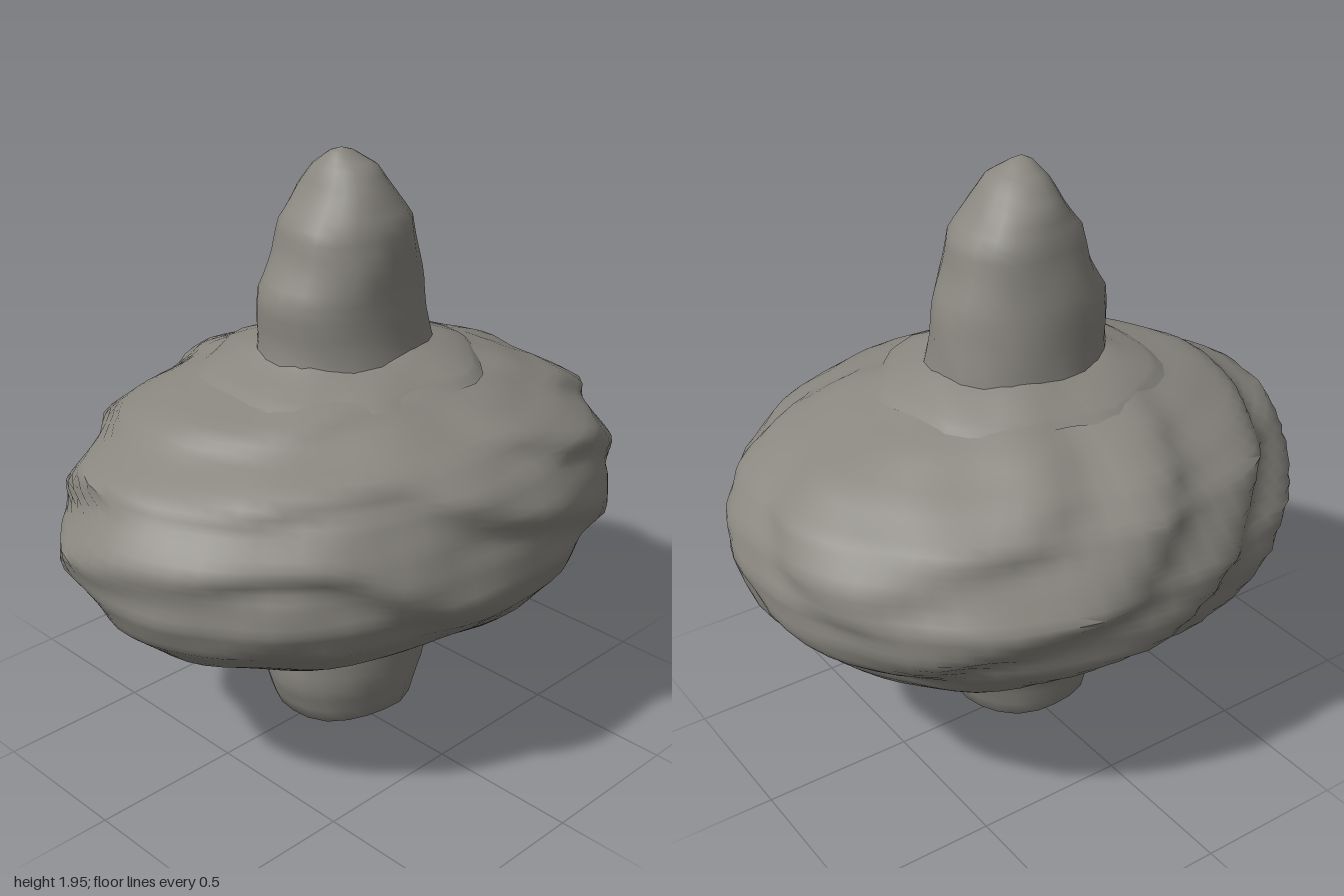
import * as THREE from 'three';
import { mergeVertices, toCreasedNormals } from 'three/addons/utils/BufferGeometryUtils.js';

// Smooth pseudo-random bumps, repeatable for a position
const bump = (x, y, z, f) =>
  (Math.sin(f * (x + 0.6 * y) + 1.3) * Math.sin(f * (1.2 * z - 0.4 * x) + 0.7) +
   Math.sin(f * (1.9 * y - 0.8 * z) + 2.1) * Math.sin(f * (1.7 * x + z) + 4)) / 2;

// Surface through horizontal sections [y, xMin, xMax, zMin, zMax], roughened by relief(x, y, z)
function loft(sections, rows, sides, relief, crease) {
  const last = sections.length - 1;
  const sample = (t, k) => {
    const i = Math.min(Math.floor(t * last), last - 1);
    return THREE.MathUtils.lerp(sections[i][k], sections[i + 1][k], t * last - i);
  };
  const points = [];
  for (let i = 0; i <= rows; i++) points.push(new THREE.Vector2(1, i / rows));
  const geometry = new THREE.LatheGeometry(points, sides);
  const p = geometry.attributes.position;
  for (let i = 0; i < p.count; i++) {
    const t = p.getY(i), s = p.getX(i), c = p.getZ(i);
    const [y, x0, x1, z0, z1] = [0, 1, 2, 3, 4].map(k => sample(t, k));
    const x = (x0 + x1) / 2 + s * (x1 - x0) / 2;
    const z = (z0 + z1) / 2 + c * (z1 - z0) / 2;
    const d = relief(x, y, z) * Math.min(1, (x1 - x0) / 0.3);
    p.setXYZ(i, x + s * d, Math.max(0, y + d * 0.4 * (t - 0.5)), z + c * d);
  }
  geometry.deleteAttribute('uv');
  geometry.deleteAttribute('normal');
  const welded = mergeVertices(geometry, 1e-4);
  welded.computeVertexNormals();
  return crease ? toCreasedNormals(welded, crease) : welded;
}

export function createModel() {
  const group = new THREE.Group();
  const stone = new THREE.MeshStandardMaterial({ color: 0x8a8780 });
  stone.name = 'warm grey';
  stone.side = THREE.DoubleSide;
  const add = (name, geometry) => {
    const mesh = new THREE.Mesh(geometry, stone);
    mesh.name = name;
    group.add(mesh);
  };

  // Lower stub with a blunt rounded end, fuller on one diagonal
  add('lowerStub', loft([
    [0.0, 0.02, 0.02, 0.0, 0.0],
    [0.02, -0.13, 0.15, -0.13, 0.16],
    [0.05, -0.23, 0.225, -0.19, 0.24],
    [0.19, -0.285, 0.275, -0.21, 0.27],
    [0.34, -0.29, 0.315, -0.27, 0.28],
    [0.5, -0.29, 0.32, -0.29, 0.28],
  ], 15, 20, (x, y, z) => 0.009 * bump(x, y, z, 11) + 0.6 * Math.max(0, x) * Math.max(0, z)));

  // Upper peak leaning slightly off centre, fuller on the other diagonal
  add('upperPeak', loft([
    [1.22, -0.3, 0.33, -0.25, 0.29],
    [1.37, -0.275, 0.315, -0.225, 0.255],
    [1.52, -0.28, 0.29, -0.205, 0.24],
    [1.63, -0.225, 0.25, -0.185, 0.24],
    [1.73, -0.2, 0.23, -0.165, 0.225],
    [1.82, -0.125, 0.16, -0.13, 0.185],
    [1.89, -0.085, 0.1, -0.07, 0.14],
    [1.935, -0.05, 0.03, 0.0, 0.075],
    [1.95, -0.02, -0.02, 0.045, 0.045],
  ], 24, 22, (x, y, z) => 0.009 * bump(x, y, z, 12) + 0.5 * Math.max(0, -x * z)));

  // Bulky winding: soft ridges run in tilted bands, with a flatter shoulder on one diagonal
  const ridges = (x, y, z) => {
    const phase = (y + 0.5 * x - 0.4 * z) * 20 + 3 * bump(x, y, z, 3);
    const shoulder = 0.8 * Math.max(0, y - 0.85) * Math.max(0, x) * Math.max(0, -z);
    return 0.018 * Math.sin(phase + 0.5 * Math.sin(phase)) + 0.014 * bump(x, y, z, 8) +
      0.07 * (x + 0.2) * Math.abs(z) - shoulder - 0.01;
  };
  add('woundBody', loft([
    [0.465, -0.25, 0.25, -0.25, 0.25],
    [0.465, -0.42, 0.44, -0.36, 0.43],
    [0.475, -0.55, 0.55, -0.45, 0.51],
    [0.495, -0.68, 0.7, -0.55, 0.57],
    [0.56, -0.81, 0.81, -0.64, 0.65],
    [0.65, -0.92, 0.9, -0.72, 0.73],
    [0.75, -0.98, 0.965, -0.76, 0.775],
    [0.85, -0.995, 0.99, -0.77, 0.775],
    [0.95, -0.945, 0.97, -0.74, 0.76],
    [1.05, -0.89, 0.905, -0.705, 0.725],
    [1.14, -0.75, 0.77, -0.62, 0.64],
    [1.22, -0.58, 0.59, -0.49, 0.5],
    [1.28, -0.39, 0.41, -0.35, 0.36],
    [1.33, -0.24, 0.28, -0.22, 0.24],
  ], 52, 72, ridges, 1));

  // Ragged collar layer lying round the base of the peak
  add('upperCollar', loft([
    [1.25, -0.45, 0.48, -0.4, 0.43],
    [1.28, -0.41, 0.44, -0.37, 0.39],
    [1.32, -0.31, 0.36, -0.29, 0.31],
    [1.345, -0.25, 0.28, -0.2, 0.23],
  ], 6, 36, (x, y, z) => 0.035 * bump(x, y, z, 10)));

  // Ragged ledge under the body
  add('lowerLedge', loft([
    [0.415, -0.26, 0.29, -0.25, 0.27],
    [0.42, -0.4, 0.44, -0.35, 0.42],
    [0.45, -0.43, 0.49, -0.42, 0.47],
    [0.5, -0.45, 0.5, -0.44, 0.47],
  ], 6, 36, (x, y, z) => 0.025 * bump(x, y, z, 11), 0.8));

  return group;
}
